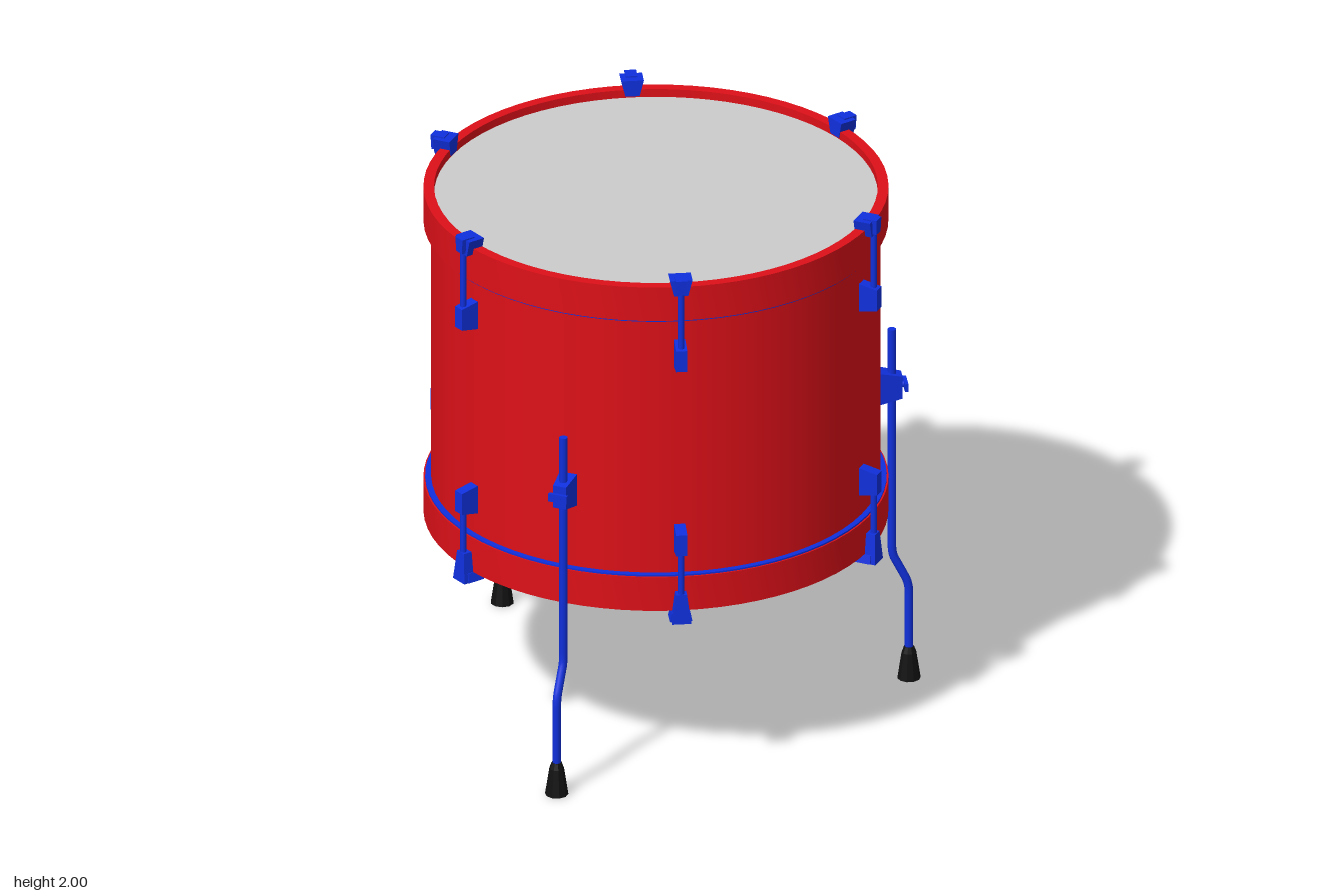
import * as THREE from 'three';
import { toCreasedNormals } from 'three/addons/utils/BufferGeometryUtils.js';

const mat = (color, opts = {}) => new THREE.MeshStandardMaterial({ color, ...opts });
const red = mat(0xdd1018);
const blue = mat(0x1030dd);
const black = mat(0x111111);
const grey = mat(0xcccccc);

const V = (x, y, z) => new THREE.Vector3(x, y, z);

function add(parent, name, geometry, material) {
  const mesh = new THREE.Mesh(geometry, material);
  mesh.name = name;
  parent.add(mesh);
  return mesh;
}

// Ring with a rectangular section
function ring(rIn, rOut, y0, y1) {
  const p = [[rIn, y0], [rOut, y0], [rOut, y1], [rIn, y1], [rIn, y0]];
  const g = new THREE.LatheGeometry(p.map(([x, y]) => new THREE.Vector2(x, y)), 72);
  return toCreasedNormals(g, 0.6);
}

// Box between two heights and two radii whose width and height vary.
// end = [width, yLow, yHigh] at the inner and the outer radius (local z is outward)
function wedge(zIn, zOut, inner, outer) {
  const g = new THREE.BoxGeometry(1, 1, 1);
  const p = g.attributes.position;
  for (let i = 0; i < p.count; i++) {
    const isOuter = p.getZ(i) > 0;
    const [w, lo, hi] = isOuter ? outer : inner;
    p.setXYZ(i, p.getX(i) * w, p.getY(i) > 0 ? hi : lo, isOuter ? zOut : zIn);
  }
  g.computeVertexNormals();
  return g;
}

// Box whose width and outer radius change from bottom to top
function tapered(y0, y1, zIn, [w0, z0], [w1, z1]) {
  const g = new THREE.BoxGeometry(1, 1, 1);
  const p = g.attributes.position;
  for (let i = 0; i < p.count; i++) {
    const top = p.getY(i) > 0;
    const zOut = top ? z1 : z0;
    p.setXYZ(i, p.getX(i) * (top ? w1 : w0), top ? y1 : y0, p.getZ(i) > 0 ? zOut : zIn);
  }
  g.computeVertexNormals();
  return g;
}

function rod(y0, y1, z, r) {
  return new THREE.CylinderGeometry(r, r, y1 - y0, 10).translate(0, (y0 + y1) / 2, z);
}

// Group turned so that local +z points outward at an angle measured from +x towards +z
function spoke(parent, name, degrees) {
  const g = new THREE.Group();
  g.name = name;
  g.rotation.y = Math.PI / 2 - THREE.MathUtils.degToRad(degrees);
  parent.add(g);
  return g;
}

function addTension(drum, degrees) {
  const g = spoke(drum, 'tensionSet', degrees);
  // Upper claw, rod and lug
  add(g, 'topClaw', tapered(1.935, 1.995, 0.772, [0.05, 0.835], [0.08, 0.835]), blue);
  add(g, 'topClawNose', tapered(1.945, 2.0, 0.8, [0.035, 0.85], [0.042, 0.852]), blue);
  add(g, 'topRod', rod(1.7, 1.96, 0.832, 0.011), blue);
  add(g, 'topLug', wedge(0.775, 0.853, [0.04, 1.635, 1.745], [0.04, 1.65, 1.73]), blue);
  // Lower claw, rod and lug
  add(g, 'bottomClaw', tapered(0.67, 0.78, 0.81, [0.068, 0.852], [0.04, 0.845]), blue);
  add(g, 'bottomClawHook', tapered(0.672, 0.705, 0.772, [0.08, 0.835], [0.065, 0.835]), blue);
  add(g, 'bottomRod', rod(0.72, 0.96, 0.832, 0.011), blue);
  add(g, 'bottomLug', wedge(0.775, 0.853, [0.04, 0.92, 1.03], [0.04, 0.935, 1.015]), blue);
}

function addLeg(drum, degrees) {
  const g = spoke(drum, 'leg', degrees);
  // Bent leg tube
  const path = new THREE.CurvePath();
  const line = (a, b) => path.add(new THREE.LineCurve3(a, b));
  const bend = (a, b, c) => path.add(new THREE.QuadraticBezierCurve3(a, b, c));
  line(V(0, 1.355, 0.83), V(0, 0.52, 0.83));
  bend(V(0, 0.52, 0.83), V(0, 0.48, 0.83), V(0, 0.46, 0.843));
  line(V(0, 0.46, 0.843), V(0, 0.39, 0.878));
  bend(V(0, 0.39, 0.878), V(0, 0.365, 0.89), V(0, 0.33, 0.89));
  line(V(0, 0.33, 0.89), V(0, 0.09, 0.89));
  add(g, 'legTube', new THREE.TubeGeometry(path, 72, 0.015, 10), blue);
  add(g, 'legCap', new THREE.CylinderGeometry(0.015, 0.015, 0.004, 10).translate(0, 1.354, 0.83), blue);
  // Rubber foot
  const foot = new THREE.CylinderGeometry(0.026, 0.041, 0.1, 10).translate(0, 0.05, 0.89);
  add(g, 'foot', toCreasedNormals(foot, 0.5), black);
  const footTop = new THREE.CylinderGeometry(0.018, 0.026, 0.022, 10).translate(0, 0.111, 0.89);
  add(g, 'footTop', toCreasedNormals(footTop, 0.5), black);
  // Bracket clamping the leg to the shell
  add(g, 'bracket', wedge(0.775, 0.865, [0.066, 1.075, 1.2], [0.05, 1.095, 1.18]), blue);
  const screw = new THREE.CylinderGeometry(0.012, 0.012, 0.03, 8).rotateX(Math.PI / 2);
  add(g, 'bracketScrew', screw.translate(0, 1.14, 0.87), blue);
  add(g, 'wingNut', new THREE.BoxGeometry(0.07, 0.03, 0.012).translate(0, 1.14, 0.878), blue);
}

export function createModel() {
  const model = new THREE.Group();
  model.name = 'floorDrum';
  const drum = new THREE.Group();
  drum.name = 'drum';
  drum.position.set(0.055, 0, -0.005);
  model.add(drum);

  // Shell
  const shell = new THREE.CylinderGeometry(0.785, 0.785, 1.08, 72, 1, true).translate(0, 1.33, 0);
  add(drum, 'shell', shell, red);

  // Hoops and the metal rims of the heads
  add(drum, 'topHoop', ring(0.775, 0.812, 1.83, 1.96), red);
  add(drum, 'bottomHoop', ring(0.775, 0.812, 0.705, 0.835), red);
  add(drum, 'topHeadRim', ring(0.78, 0.806, 1.824, 1.84), blue);
  add(drum, 'bottomHeadRim', ring(0.78, 0.806, 0.825, 0.841), blue);

  // Heads
  const head = new THREE.CircleGeometry(0.778, 72);
  add(drum, 'topHead', head.clone().rotateX(-Math.PI / 2).translate(0, 1.93, 0), grey);
  add(drum, 'bottomHead', head.clone().rotateX(Math.PI / 2).translate(0, 0.77, 0), grey);

  for (let i = 0; i < 6; i++) addTension(drum, 30 + i * 60);
  for (let i = 0; i < 3; i++) addLeg(drum, 59 + i * 120);
  return model;
}
